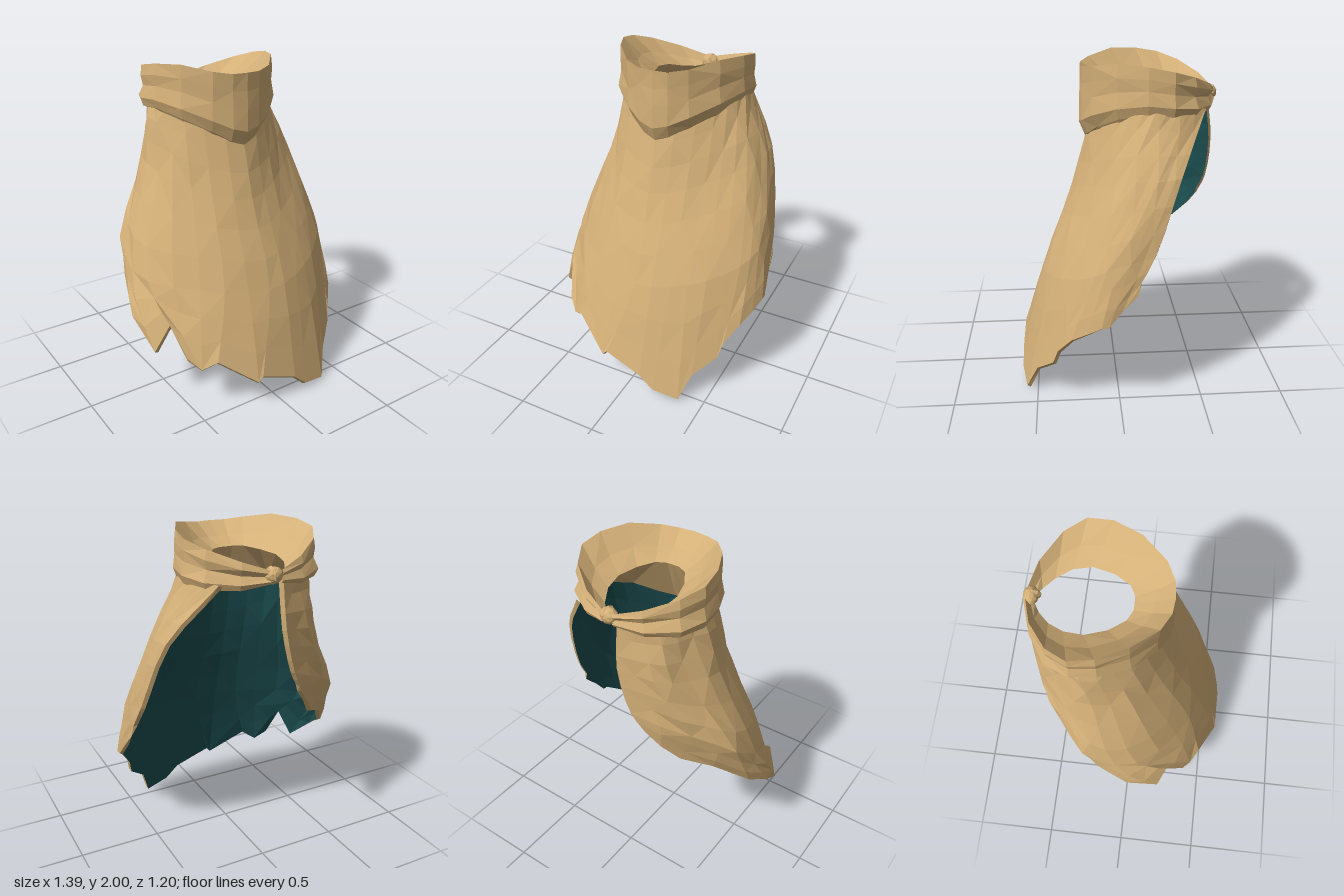
import * as THREE from 'three';

const V = (a) => new THREE.Vector3(...a);
const mirror = ([x, y, z]) => [-x, y, z];

// Repeatable noise in -0.5..0.5
const noise = (i, j) => {
  const s = Math.sin(i * 127.1 + j * 311.7) * 43758.5453;
  return s - Math.floor(s) - 0.5;
};

// Surface over a grid of points: rows run down, columns run from -x round the front to +x
function gridGeometry(rows, flip = false) {
  const cols = rows[0].length, index = [];
  for (let i = 0; i < rows.length - 1; i++) {
    for (let j = 0; j < cols - 1; j++) {
      const a = i * cols + j, b = a + cols, c = b + 1, d = a + 1;
      const tris = (i + j) % 2 ? [[a, b, d], [b, c, d]] : [[a, b, c], [a, c, d]];
      for (const [p, q, r] of tris) index.push(p, ...(flip ? [r, q] : [q, r]));
    }
  }
  const g = new THREE.BufferGeometry().setFromPoints(rows.flat());
  g.setIndex(index);
  g.computeVertexNormals();
  return g;
}

// Cape control lines, from the right back edge round the front to the left back edge
const TOP = [
  [-0.04, 1.76, -0.57], [-0.24, 1.77, -0.48], [-0.36, 1.79, -0.28], [-0.29, 1.75, -0.02], [0, 1.66, 0.14],
  [0.29, 1.75, -0.02], [0.38, 1.79, -0.22], [0.35, 1.76, -0.39], [0.29, 1.74, -0.5],
];
const UPPER = [
  [-0.05, 1.48, -0.605], [-0.32, 1.43, -0.47], [-0.45, 1.4, -0.2], [-0.32, 1.3, 0.1], [0, 1.22, 0.26],
  [0.3, 1.3, 0.13], [0.49, 1.38, -0.03], [0.545, 1.4, -0.2], [0.53, 1.41, -0.34],
];
const LOWER = [
  [-0.12, 1.22, -0.595], [-0.54, 1.01, -0.345], [-0.655, 0.8, -0.06], [-0.4, 0.75, 0.31], [0, 0.7, 0.45],
  [0.32, 0.75, 0.38], [0.57, 0.85, 0.2], [0.65, 0.95, 0.02], [0.635, 1.0, -0.19],
];
// Ragged hem, one point for each column
const HEM = [
  [-0.2, 1.08, -0.555], [-0.27, 0.98, -0.515], [-0.35, 0.87, -0.44], [-0.5, 0.79, -0.31], [-0.65, 0.62, -0.13],
  [-0.7, 0.53, 0.02], [-0.66, 0.37, 0.22], [-0.58, 0.55, 0.27], [-0.53, 0.36, 0.38], [-0.47, 0.29, 0.43],
  [-0.39, 0.34, 0.48], [-0.17, 0.18, 0.59], [-0.14, 0.21, 0.59], [0.1, 0.12, 0.6], [0.19, 0.04, 0.6],
  [0.35, 0.005, 0.57], [0.41, 0.17, 0.5], [0.53, 0.28, 0.4], [0.55, 0.37, 0.37], [0.62, 0.48, 0.29],
  [0.665, 0.54, 0.2], [0.695, 0.59, 0.12], [0.695, 0.59, 0.08], [0.68, 0.69, 0.0], [0.67, 0.8, -0.07],
];

// Collar half lines from the front to the knot: top rim, lower edge, neck hole and inner bib
const RIM = [
  [0, 1.95, 0.2], [0.09, 1.95, 0.19], [0.19, 1.965, 0.14], [0.31, 1.995, 0.0], [0.385, 1.985, -0.16],
  [0.4, 1.96, -0.3], [0.33, 1.92, -0.42], [0.18, 1.86, -0.53], [0.03, 1.81, -0.58],
];
const EDGE = [
  [0, 1.53, 0.175], [0.08, 1.56, 0.16], [0.18, 1.62, 0.11], [0.31, 1.69, 0.0], [0.385, 1.73, -0.16],
  [0.4, 1.72, -0.3], [0.34, 1.71, -0.43], [0.19, 1.71, -0.53], [0.03, 1.74, -0.58],
];
const HOLE = [
  [0, 1.83, -0.01], [0.04, 1.83, -0.01], [0.1, 1.83, -0.04], [0.16, 1.82, -0.13], [0.195, 1.81, -0.25],
  [0.18, 1.79, -0.36], [0.13, 1.76, -0.45], [0.07, 1.75, -0.51], [0.02, 1.76, -0.54],
];
const BIB = [
  [0, 1.53, 0.145], [0.08, 1.54, 0.13], [0.17, 1.57, 0.07], [0.28, 1.63, -0.02], [0.34, 1.68, -0.16],
  [0.355, 1.7, -0.3], [0.3, 1.7, -0.41], [0.16, 1.7, -0.5], [0.03, 1.74, -0.56],
];

function capeRows(rowCount) {
  const curves = [TOP, UPPER, LOWER].map((l) => new THREE.CatmullRomCurve3(l.map(V)));
  const rows = Array.from({ length: rowCount + 1 }, () => []);
  HEM.forEach((h, j) => {
    const u = j / (HEM.length - 1);
    const column = new THREE.CatmullRomCurve3([...curves.map((c) => c.getPoint(u)), V(h)]);
    for (let i = 0; i <= rowCount; i++) rows[i].push(column.getPoint(i / rowCount));
  });
  // Creases, stronger on the gathered right side
  const normals = gridGeometry(rows).attributes.normal;
  const cols = HEM.length;
  for (let i = 1; i < rowCount; i++) {
    for (let j = 1; j < cols - 1; j++) {
      const n = new THREE.Vector3().fromBufferAttribute(normals, i * cols + j);
      const amount = j < 10 ? 0.02 : 0.01;
      const fold = j < 10 ? 0.008 * Math.sin(j * 2.1 + i * 0.9) : 0;
      rows[i][j].addScaledVector(n, noise(i, j) * amount + fold);
    }
  }
  return rows;
}

function collarRows() {
  const round = (half) => [...half.slice(1).reverse().map(mirror), ...half].map(V);
  const [rim, edge, hole, bib] = [RIM, EDGE, HOLE, BIB].map(round);
  const rows = Array.from({ length: 9 }, () => []);
  rim.forEach((t, j) => {
    const b = edge[j], h = hole[j];
    const back = Math.abs(j - 8) / 8;
    const out = new THREE.Vector3(t.x, 0, t.z + 0.2).normalize();
    // Full and rounded in front, gathered into pleats toward the knot
    const pleat = (f, front, gather) => t.clone().lerp(b, f).addScaledVector(out,
      front * (1 - back) + gather * back * back * (1.6 - back) + noise(j, f * 9) * 0.01);
    [
      t, pleat(0.25, 0.006, 0.018), pleat(0.5, 0.014, -0.012), pleat(0.8, 0.034, 0.018), b,
      bib[j], h, h.clone().lerp(t, 0.5).add(V([0, -0.015, 0])), t,
    ].forEach((p, i) => rows[i].push(p.clone()));
  });
  return rows;
}

export function createModel() {
  const cloth = new THREE.MeshStandardMaterial({ color: 0xd4b078, flatShading: true });
  cloth.name = 'tan cloth';
  const lining = new THREE.MeshStandardMaterial({ color: 0x1d4f51, flatShading: true });
  lining.name = 'teal lining';

  const model = new THREE.Group();
  model.name = 'cape';
  const add = (name, geometry, material) => {
    const mesh = new THREE.Mesh(geometry, material);
    mesh.name = name;
    model.add(mesh);
    return mesh;
  };

  // Inner lining, set in from the outer cloth by its thickness
  const outer = capeRows(9);
  const normals = gridGeometry(outer).attributes.normal;
  const cols = HEM.length, last = outer.length - 1;
  const inner = outer.map((row, i) => row.map((p, j) => p.clone().addScaledVector(
    new THREE.Vector3().fromBufferAttribute(normals, i * cols + j), -0.024)));
  add('capeLining', gridGeometry(inner, true), lining);

  // Outer cloth, drawn back a little at its border so the hem is bevelled
  const drawBack = (p, q) => p.addScaledVector(q.clone().sub(p).normalize(), 0.01);
  outer[last].forEach((p, j) => drawBack(p, outer[last - 1][j]));
  outer.forEach((row) => {
    drawBack(row[0], row[1]);
    drawBack(row[cols - 1], row[cols - 2]);
  });
  add('capeOuter', gridGeometry(outer), cloth);

  // Hem strip closing the thickness down one edge, along the bottom and up the other edge
  const border = (g) => [
    ...g.map((r) => r[0]), ...g[last].slice(1, -1), ...g.map((r) => r[cols - 1]).reverse(),
  ];
  add('hemEdge', gridGeometry([border(outer), border(inner)]), cloth);

  // Folded collar
  add('collar', gridGeometry(collarRows()), cloth);

  // Knot with a wrapped band
  const knot = add('knot', new THREE.IcosahedronGeometry(0.05, 1), cloth);
  knot.scale.set(1.1, 0.95, 0.85);
  knot.position.set(0.01, 1.78, -0.56);
  const band = add('knotBand', new THREE.TorusGeometry(0.034, 0.017, 5, 9), cloth);
  band.rotation.set(0, Math.PI / 2, 0.3);
  band.position.set(0.02, 1.78, -0.555);
  return model;
}
